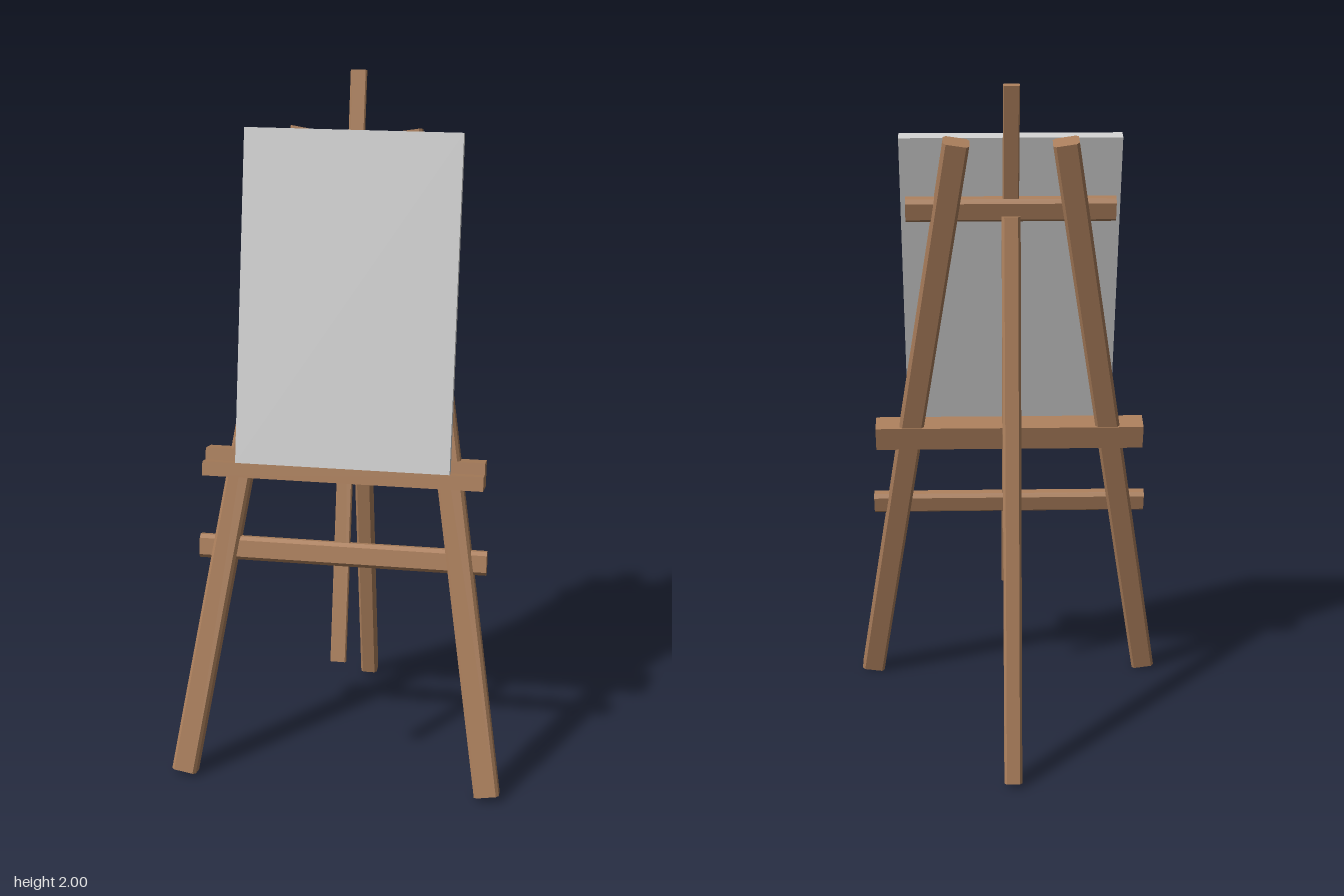
import * as THREE from 'three';

const wood = new THREE.MeshStandardMaterial({ color: 0xab7f5c });
wood.name = 'wood';
const canvasGrey = new THREE.MeshStandardMaterial({ color: 0xd0d0d0 });
canvasGrey.name = 'canvas grey';

// Prism along local y, centred, from a list of [x, z] section corners
function prism(name, points, length, material) {
  const shape = new THREE.Shape(points.map(([x, y]) => new THREE.Vector2(x, y)));
  const geometry = new THREE.ExtrudeGeometry(shape, { depth: length, bevelEnabled: false });
  geometry.translate(0, 0, -length / 2);
  geometry.rotateX(-Math.PI / 2);
  const mesh = new THREE.Mesh(geometry, material);
  mesh.name = name;
  return mesh;
}

// Wooden bar with chamfered long edges
function bar(name, width, depth, length, c) {
  const w = width / 2, d = depth / 2;
  return prism(name, [
    [-w + c, -d], [w - c, -d], [w, -d + c], [w, d - c],
    [w - c, d], [-w + c, d], [-w, d - c], [-w, -d + c],
  ], length, wood);
}

// Chamfered bar running between two points
function barBetween(name, from, to, width, depth, c) {
  const a = new THREE.Vector3(...from), b = new THREE.Vector3(...to);
  const dir = b.clone().sub(a);
  const mesh = bar(name, width, depth, dir.length(), c);
  mesh.position.copy(a).add(b).multiplyScalar(0.5);
  mesh.quaternion.setFromUnitVectors(new THREE.Vector3(0, 1, 0), dir.normalize());
  return mesh;
}

export function createModel() {
  const easel = new THREE.Group();
  easel.name = 'easel';

  // Leaning front frame: local y runs up the slope, local z points forward
  const frame = new THREE.Group();
  frame.name = 'frontFrame';
  frame.position.z = 0.352;
  frame.rotation.x = -0.2256;
  easel.add(frame);

  // Splayed front legs
  for (const [name, s] of [['leftLeg', 1], ['rightLeg', -1]]) {
    frame.add(barBetween(name, [s * 0.445, 0.012, 0], [s * 0.148, 1.888, 0], 0.072, 0.056, 0.008));
  }

  // Thin centre mast
  frame.add(barBetween('mast', [0, 0.372, 0], [0, 2.05, 0], 0.045, 0.017, 0.003));

  // Crossbars
  for (const [name, y, half] of [['lowerCrossbar', 0.687, 0.415], ['upperCrossbar', 1.688, 0.29]]) {
    frame.add(barBetween(name, [-half, y, 0], [half, y, 0], 0.068, 0.038, 0.01));
  }

  // Stepped tray that carries the canvas
  const tray = prism('tray', [
    [0.902, 0.03], [0.902, -0.072], [0.943, -0.072],
    [0.943, -0.034], [0.977, -0.034], [0.977, 0.03],
  ].map(([y, z]) => [y, z]), 0.8, wood);
  tray.rotation.z = Math.PI / 2;
  // section x becomes local height, section y becomes depth
  frame.add(tray);

  // Canvas panel
  const canvas = new THREE.Mesh(new THREE.BoxGeometry(0.61, 0.939, 0.033), canvasGrey);
  canvas.name = 'canvas';
  canvas.position.set(0, 1.4125, 0.0545);
  frame.add(canvas);

  // Rear leg and the short strut joining it to the mast
  easel.add(barBetween('rearLeg', [0, 0.014, -0.352], [0, 1.63, -0.055], 0.052, 0.046, 0.007));
  const strut = new THREE.Mesh(new THREE.BoxGeometry(0.03, 0.034, 0.13), wood);
  strut.name = 'rearStrut';
  strut.position.set(0, 1.373, -0.025);
  easel.add(strut);

  return easel;
}
